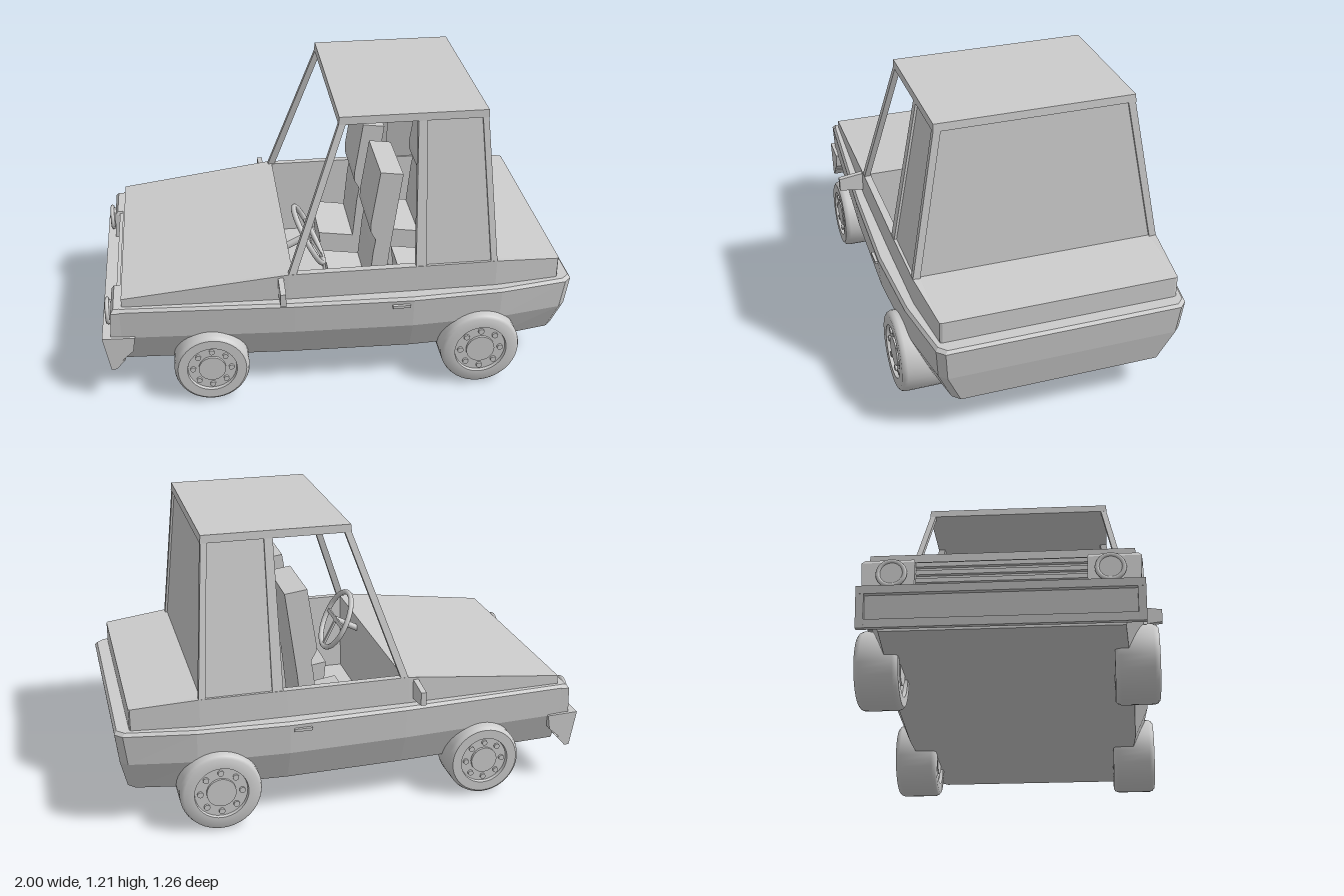
import * as THREE from 'three';
import { toCreasedNormals } from 'three/addons/utils/BufferGeometryUtils.js';

const material = new THREE.MeshStandardMaterial({ color: 0xcccccc });

function add(parent, name, geometry, x = 0, y = 0, z = 0) {
  const mesh = new THREE.Mesh(geometry, material);
  mesh.name = name;
  mesh.position.set(x, y, z);
  parent.add(mesh);
  return mesh;
}

// Closed, flat-shaded solid through rings of equal point count, capped at both ends
function loft(rings) {
  const n = rings[0].length;
  const tris = [];
  const cap = (ring, flip) => {
    const c = [0, 1, 2].map((k) => ring.reduce((sum, p) => sum + p[k], 0) / n);
    ring.forEach((p, i) => {
      const q = ring[(i + 1) % n];
      tris.push(flip ? [c, q, p] : [c, p, q]);
    });
  };
  cap(rings[0], true);
  for (let r = 0; r + 1 < rings.length; r++) {
    for (let i = 0; i < n; i++) {
      const j = (i + 1) % n;
      const [a, b, c, d] = [rings[r][i], rings[r][j], rings[r + 1][j], rings[r + 1][i]];
      tris.push([a, b, c], [a, c, d]);
    }
  }
  cap(rings[rings.length - 1], false);
  // Turn the faces outward whichever way the rings run
  const v = (p) => new THREE.Vector3(...p);
  const volume = tris.reduce((s, [a, b, c]) => s + v(a).dot(v(b).cross(v(c))), 0);
  if (volume < 0) tris.forEach((t) => t.reverse());
  const geometry = new THREE.BufferGeometry();
  geometry.setAttribute('position', new THREE.Float32BufferAttribute(tris.flat(2), 3));
  geometry.computeVertexNormals();
  return geometry;
}

// Rectangle at height y
const rect = (y, x0, x1, z0, z1) => [[x0, y, z0], [x1, y, z0], [x1, y, z1], [x0, y, z1]];
// Side profile in x,y stretched across z
const slab = (profile, z0, z1) => loft([z0, z1].map((z) => profile.map(([x, y]) => [x, y, z])));
// Mirrors a half outline [x, y, z] into a full ring
const ring = (half) => [...half, ...half.slice().reverse().map(([x, y, z]) => [x, y, -z])];

function addBody(car) {
  const waist = [[-0.92, 0.5], [-0.92, 0.525], [-0.2, 0.57], [0.3, 0.585], [0.68, 0.567], [0.97, 0.52], [1, 0.49]];
  const shoulder = [[-0.91, 0.49], [-0.91, 0.5], [-0.22, 0.525], [0.3, 0.527], [0.66, 0.525], [0.935, 0.495], [0.94, 0.485]];
  const tops = [0.48, 0.48, 0.56, 0.56, 0.56, 0.535, 0.535];
  const well = [-0.2, -0.2, -0.2, 0.3, 0.63, 0.63, 0.63];
  const level = (y, inset, tuck) => ring(waist.map(([x, z]) => [x > 0.9 ? x - tuck : x, y, z - inset]));
  // Lower hull, shoulder, bonnet and boot, then down into the cabin well
  add(car, 'body', loft([
    level(0.16, 0.07, 0.045),
    level(0.3, 0.01, 0.015),
    level(0.43, 0, 0),
    level(0.443, 0.01, 0.01),
    ring(shoulder.map(([x, z]) => [x, 0.443, z])),
    ring(shoulder.map(([x, z], i) => [x, tops[i], z])),
    ring(well.map((x) => [x, 0.56, 0.495])),
    ring(well.map((x) => [x, 0.2, 0.48])),
  ]));
}

function addCabin(car) {
  const low = 0.555, high = 1.18;
  // Upright leaning inward with the cabin side
  const upright = (name, b0, b1, t0, t1, thick, inset = 0) => {
    for (const s of [1, -1]) {
      const zb = 0.525 - inset, zt = 0.413 - inset;
      add(car, name, loft([
        rect(low, b0, b1, s * (zb - thick), s * zb),
        rect(high, t0, t1, s * (zt - thick), s * zt),
      ]));
    }
  };
  upright('windscreenPillar', -0.22, -0.188, 0.002, 0.03, 0.025);
  upright('doorPillar', 0.315, 0.36, 0.325, 0.36, 0.03);
  upright('rearPillar', 0.635, 0.662, 0.588, 0.613, 0.03);
  upright('rearSideWindow', 0.35, 0.645, 0.35, 0.6, 0.01, 0.01);
  add(car, 'rearWindow', loft([
    rect(low, 0.64, 0.652, -0.51, 0.51),
    rect(high, 0.592, 0.604, -0.4, 0.4),
  ]));
  add(car, 'roof', loft([rect(1.175, 0, 0.616, -0.415, 0.415), rect(1.208, 0.003, 0.613, -0.413, 0.413)]));
}

function addNose(car) {
  // Bumper with a raised frame round its sloping face
  add(car, 'frontBumper', slab([[-0.98, 0.3], [-0.87, 0.3], [-0.88, 0.24], [-0.92, 0.2], [-0.955, 0.16]], -0.51, 0.51));
  add(car, 'bumperTopLip', slab([[-1, 0.31], [-0.865, 0.305], [-0.87, 0.28], [-0.995, 0.28]], -0.53, 0.53));
  add(car, 'bumperBottomLip', slab([[-0.977, 0.185], [-0.91, 0.2], [-0.95, 0.155], [-0.972, 0.153]], -0.53, 0.53));
  for (const s of [1, -1]) {
    add(car, 'bumperEnd', slab([[-1, 0.31], [-0.865, 0.305], [-0.875, 0.24], [-0.92, 0.2], [-0.972, 0.153]], s * 0.5, s * 0.53));
    add(car, 'headlightHousing', loft([
      rect(0.305, -0.965, -0.9, s * 0.32, s * 0.515),
      rect(0.425, -0.957, -0.9, s * 0.32, s * 0.522),
      rect(0.441, -0.945, -0.9, s * 0.325, s * 0.51),
    ]));
    add(car, 'headlight', new THREE.CylinderGeometry(0.045, 0.045, 0.03, 24), -0.963, 0.37, s * 0.405).rotation.z = Math.PI / 2;
    add(car, 'headlightRim', new THREE.TorusGeometry(0.05, 0.009, 8, 24), -0.975, 0.37, s * 0.405).rotation.y = Math.PI / 2;
  }
  for (let i = 0; i < 4; i++) {
    add(car, 'grilleSlat', new THREE.BoxGeometry(0.02, 0.018, 0.64), -0.925, 0.325 + i * 0.033, 0);
  }
}

function addSideDetails(car) {
  for (const s of [1, -1]) {
    const end = (z, y0, y1) => [[-0.263, y0, z], [-0.24, y0, z], [-0.24, y1, z], [-0.263, y1, z]];
    add(car, 'mirror', loft([end(s * 0.515, 0.46, 0.548), end(s * 0.63, 0.475, 0.532)]));
    add(car, 'doorHandle', new THREE.BoxGeometry(0.075, 0.012, 0.025), 0.247, 0.409, s * 0.582);
  }
}

function addWheel(car, name, x, r, outer, side) {
  const inner = 0.415, h = (outer - inner) / 2;
  const wheel = new THREE.Group();
  wheel.name = name;
  wheel.position.set(x, r, side * (inner + h));
  wheel.rotation.x = side * Math.PI / 2;
  car.add(wheel);
  const profile = [[0.64, -h + 0.02], [0.66, -h], [0.91, -h], [0.97, -h + 0.008], [1, -h + 0.022],
    [1, h - 0.022], [0.97, h - 0.008], [0.91, h], [0.66, h], [0.64, h - 0.02]];
  const tyre = new THREE.LatheGeometry(profile.map(([k, y]) => new THREE.Vector2(k * r, y)), 40);
  add(wheel, 'tyre', toCreasedNormals(tyre, 0.7));
  add(wheel, 'rim', new THREE.CylinderGeometry(0.645 * r, 0.645 * r, 2 * h - 0.03, 32));
  add(wheel, 'hub', new THREE.CylinderGeometry(0.36 * r, 0.38 * r, 2 * h - 0.008, 24));
  for (let i = 0; i < 8; i++) {
    const a = i * Math.PI / 4;
    add(wheel, 'wheelBolt', new THREE.CylinderGeometry(0.075 * r, 0.075 * r, 0.02, 10),
      0.51 * r * Math.cos(a), h - 0.015, 0.51 * r * Math.sin(a));
  }
}

function addInterior(car) {
  const back = [[0.18, 0.938], [0.275, 0.925], [0.225, 0.56], [0.2, 0.3], [0.13, 0.3], [0.155, 0.56], [0.165, 0.62], [0.143, 0.66], [0.143, 0.7]];
  const cushion = [[0, 0.2], [0.2, 0.2], [0.18, 0.37], [-0.02, 0.4]];
  for (const dx of [0, 0.31]) {
    for (const s of [1, -1]) {
      const shift = (points) => points.map(([x, y]) => [x + dx, y]);
      add(car, 'seatBack', slab(shift(back), s * 0.08, s * 0.39));
      add(car, 'seatCushion', slab(shift(cushion), s * 0.08, s * 0.39));
    }
  }
  // Steering wheel facing the driver, tilted upward
  const steering = new THREE.Group();
  steering.name = 'steeringWheel';
  steering.position.set(-0.1, 0.557, 0.2);
  steering.rotation.set(0, Math.PI / 2, 0.47, 'ZYX');
  car.add(steering);
  add(steering, 'steeringRim', new THREE.TorusGeometry(0.138, 0.012, 10, 32));
  for (const angle of [0, Math.PI, -Math.PI / 2]) {
    const spoke = add(steering, 'steeringSpoke', new THREE.BoxGeometry(0.135, 0.016, 0.01),
      0.068 * Math.cos(angle), 0.068 * Math.sin(angle), 0);
    spoke.rotation.z = angle;
  }
  add(steering, 'steeringColumn', new THREE.CylinderGeometry(0.015, 0.015, 0.13, 12), 0, 0, -0.06).rotation.x = Math.PI / 2;
}

export function createModel() {
  const car = new THREE.Group();
  car.name = 'car';
  addBody(car);
  addCabin(car);
  addNose(car);
  addSideDetails(car);
  addInterior(car);
  for (const side of [1, -1]) {
    addWheel(car, 'frontWheel', -0.552, 0.158, 0.587, side);
    addWheel(car, 'rearWheel', 0.594, 0.17, 0.605, side);
  }
  return car;
}
